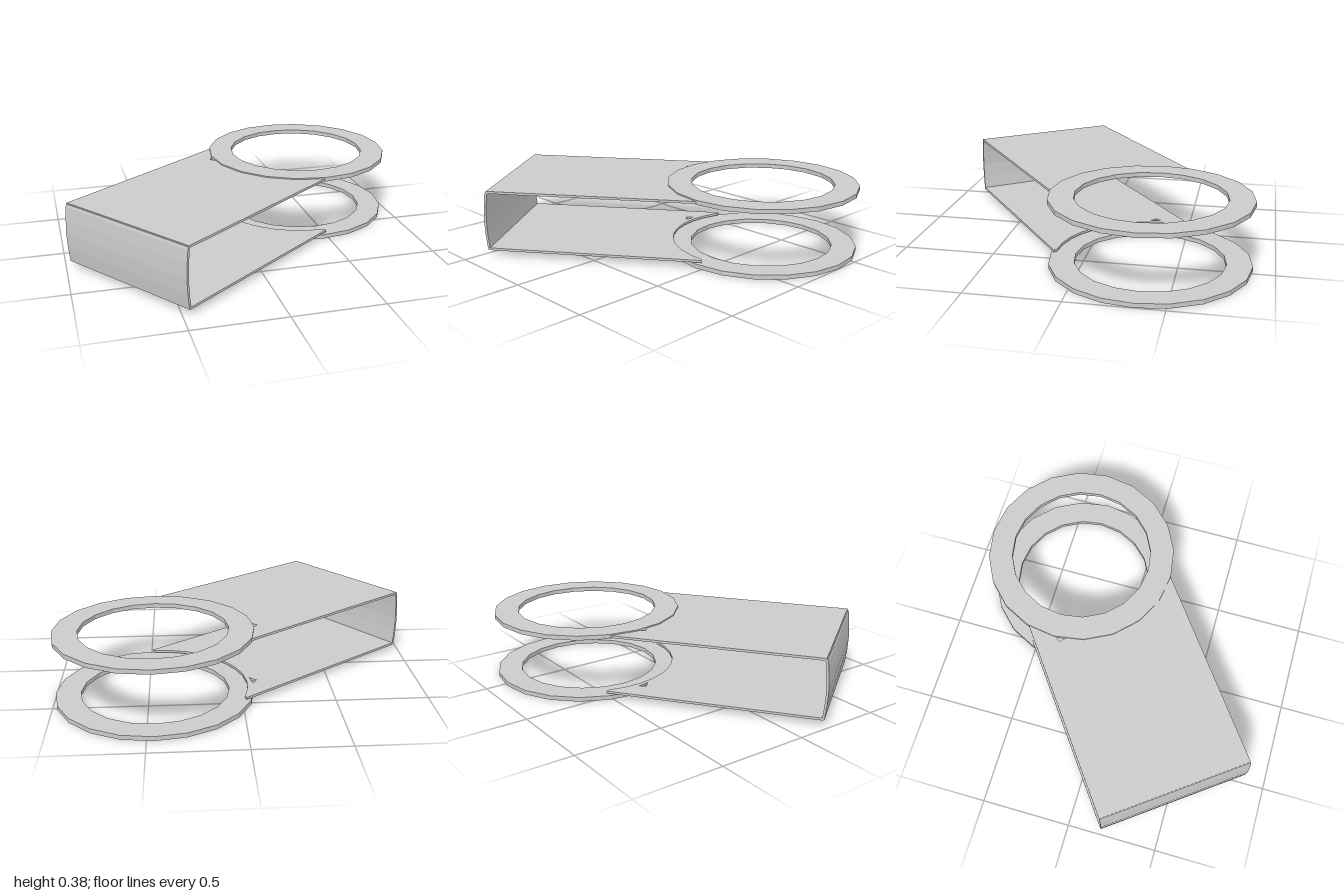
import * as THREE from 'three';

const HALF_WIDTH = 0.428;
const BACK = -1.488;

export function createModel() {
  const model = new THREE.Group();
  const material = new THREE.MeshStandardMaterial({
    color: 0xcccccc, flatShading: true, side: THREE.DoubleSide,
  });

  // everything is laid out around the ring axis, then swung to the diagonal
  const bracket = new THREE.Group();
  bracket.name = 'bracket';
  bracket.position.set(0.465, 0, -0.35);
  bracket.rotation.y = 0.636;
  model.add(bracket);

  const add = (name, geometry) => {
    const mesh = new THREE.Mesh(geometry, material);
    mesh.name = name;
    bracket.add(mesh);
    return mesh;
  };
  // horizontal slab from a plan outline (x, -z)
  const slab = (name, shape, y, height) => {
    const geometry = new THREE.ExtrudeGeometry(shape, { depth: height, bevelEnabled: false });
    geometry.rotateX(-Math.PI / 2);
    geometry.translate(0, y, 0);
    return add(name, geometry);
  };
  const polygon = (radius, sides) => Array.from({ length: sides }, (_, i) => {
    const a = (i / sides) * Math.PI * 2;
    return new THREE.Vector2(radius * Math.cos(a), radius * Math.sin(a));
  });

  // twenty-sided flat rings, turned back so a corner points along x
  const ringShape = new THREE.Shape(polygon(0.535, 20));
  ringShape.holes.push(new THREE.Path(polygon(0.4, 20)));
  for (const [name, y] of [['lowerRing', 0], ['upperRing', 0.353]]) {
    slab(name, ringShape, y, 0.024).rotation.y = -bracket.rotation.y;
  }

  // plates with a concave end tucked against the rings and a small notch hole
  const outline = [
    new THREE.Vector2(BACK + 0.02, HALF_WIDTH),
    new THREE.Vector2(BACK + 0.02, -HALF_WIDTH),
    new THREE.Vector2(-0.285, -HALF_WIDTH),
  ];
  for (let i = 0; i <= 10; i++) {
    const a = Math.PI + 0.95 * (1 - i / 5);
    outline.push(new THREE.Vector2(0.5 * Math.cos(a), 0.5 * Math.sin(a)));
  }
  // run the concave edge from the -y side to the +y side
  const arc = outline.splice(3).sort((p, q) => p.y - q.y);
  outline.push(...arc, new THREE.Vector2(-0.285, HALF_WIDTH));
  const plateShape = new THREE.Shape(outline);
  plateShape.holes.push(new THREE.Path([
    new THREE.Vector2(-0.471, 0.297),
    new THREE.Vector2(-0.43, 0.311),
    new THREE.Vector2(-0.459, 0.246),
  ]));
  slab('lowerPlate', plateShape, 0.032, 0.013);
  slab('upperPlate', plateShape, 0.357, 0.013);

  // slightly bowed sheet joining the plates at the back
  const wallShape = new THREE.Shape([
    [0.022, 0.032], [0.014, 0.036], [0.004, 0.12], [0, 0.2], [0.004, 0.28],
    [0.011, 0.35], [0.016, 0.364], [0.03, 0.37], [0.03, 0.357], [0.024, 0.35],
    [0.017, 0.28], [0.013, 0.2], [0.017, 0.12], [0.025, 0.045], [0.03, 0.032],
  ].map(([x, y]) => new THREE.Vector2(BACK + x, y)));
  const wall = new THREE.ExtrudeGeometry(wallShape, { depth: 2 * HALF_WIDTH, bevelEnabled: false });
  wall.translate(0, 0, -HALF_WIDTH);
  add('backWall', wall);

  return model;
}
